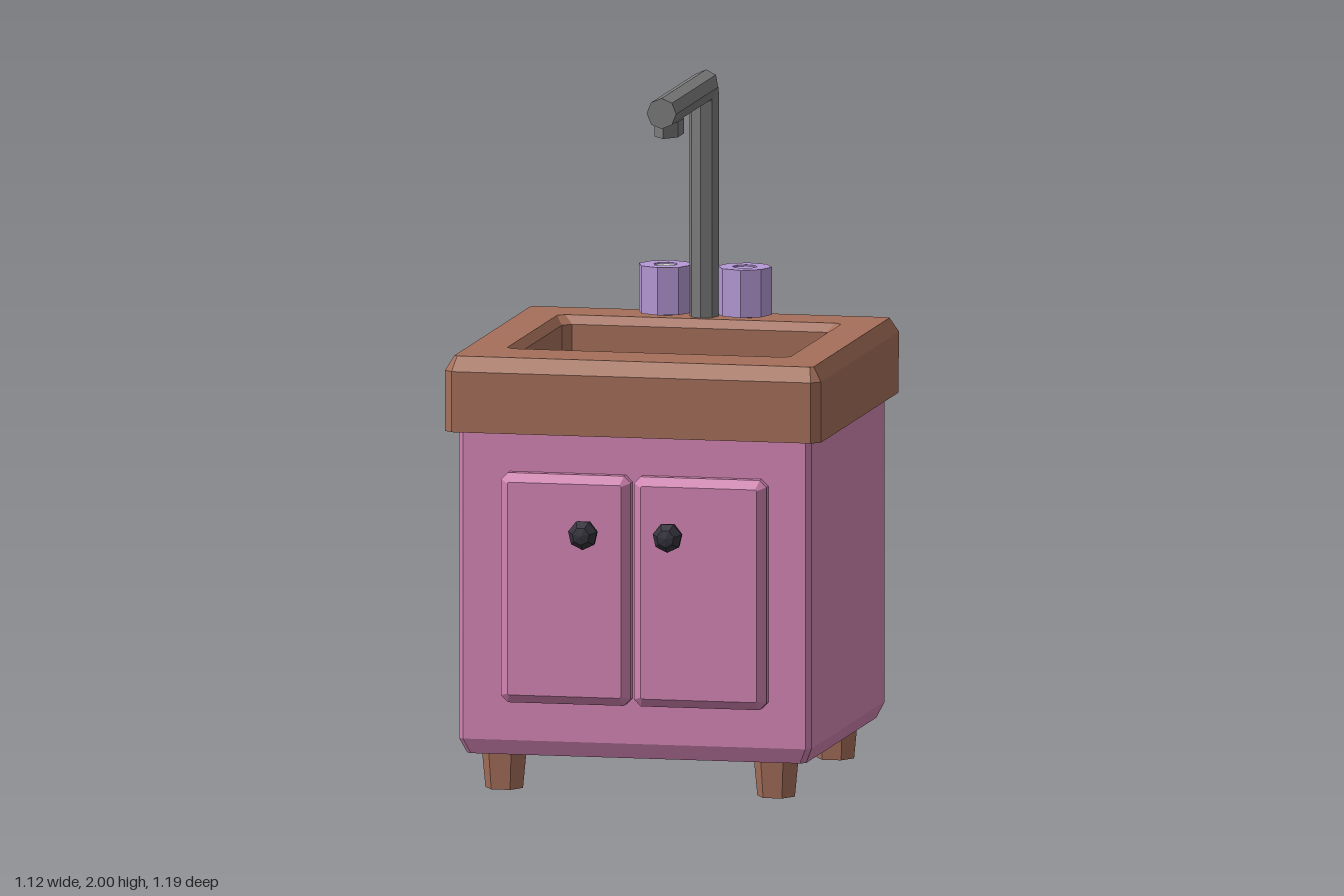
import * as THREE from 'three';

const mat = (name, color, side = THREE.FrontSide) => {
  const m = new THREE.MeshStandardMaterial({ color, side });
  m.name = name;
  return m;
};

// Faceted normals for a low-poly look
function facet(geo) {
  const g = geo.index ? geo.toNonIndexed() : geo;
  g.computeVertexNormals();
  return g;
}

// Skin between loops of equal point count, with optional end caps
function loft(rings, capStart, capEnd) {
  const n = rings[0].length, pos = rings.flat(2), idx = [];
  for (let r = 0; r < rings.length - 1; r++) {
    for (let i = 0; i < n; i++) {
      const j = (i + 1) % n, a = r * n, b = a + n;
      idx.push(a + i, a + j, b + j, a + i, b + j, b + i);
    }
  }
  const e = (rings.length - 1) * n;
  for (let i = 1; i < n - 1; i++) {
    if (capStart) idx.push(0, i + 1, i);
    if (capEnd) idx.push(e, e + i, e + i + 1);
  }
  const g = new THREE.BufferGeometry();
  g.setAttribute('position', new THREE.Float32BufferAttribute(pos, 3));
  g.setIndex(idx);
  return facet(g);
}

// Rectangle with cut corners at height y, counter-clockwise from above
const rect = (y, x0, x1, z0, z1, c) => [
  [x1, y, z1 - c], [x1, y, z0 + c], [x1 - c, y, z0], [x0 + c, y, z0],
  [x0, y, z0 + c], [x0, y, z1 - c], [x0 + c, y, z1], [x1 - c, y, z1],
];

export function createModel() {
  const group = new THREE.Group();
  group.name = 'sinkCabinet';
  const pink = mat('pinkPaint', 0xd284b2, THREE.DoubleSide);
  const wood = mat('brownWood', 0xa56f5a);
  const metal = mat('greyMetal', 0x7c7c7c);
  const white = mat('whiteBasin', 0xd6d6d6, THREE.DoubleSide);
  const lilac = mat('lilacHandle', 0xb598d6);
  const dark = mat('darkKnob', 0x35323c);

  const add = (name, geo, material, x = 0, y = 0, z = 0) => {
    const m = new THREE.Mesh(geo, material);
    m.name = name;
    m.position.set(x, y, z);
    group.add(m);
    return m;
  };

  // Cabinet shell, open underneath
  add('cabinetBody', loft([
    rect(0.11, -0.505, 0.505, -0.53, 0.445, 0.015),
    rect(0.155, -0.525, 0.525, -0.55, 0.465, 0.015),
    rect(1.07, -0.525, 0.525, -0.55, 0.465, 0.015),
  ]), pink);

  // Countertop frame: underside, sides, bevel, top, then down the opening
  add('countertop', loft([
    rect(1.06, -0.51, 0.51, -0.535, 0.45, 0.015),
    rect(1.06, -0.56, 0.56, -0.585, 0.505, 0.025),
    rect(1.238, -0.56, 0.56, -0.595, 0.505, 0.025),
    rect(1.28, -0.535, 0.535, -0.565, 0.473, 0.01),
    rect(1.28, -0.42, 0.425, -0.415, 0.293, 0.02),
    rect(1.255, -0.4, 0.405, -0.395, 0.272, 0.025),
    rect(1.15, -0.4, 0.405, -0.395, 0.272, 0.025),
  ]), wood);

  // Basin
  add('basin', loft([
    rect(1.17, -0.4, 0.405, -0.395, 0.272, 0.03),
    rect(1.03, -0.285, 0.3, -0.315, 0.178, 0.03),
    rect(1.0, -0.245, 0.255, -0.272, 0.176, 0.02),
  ], false, true), white);

  // Drain ring
  const drain = new THREE.TorusGeometry(0.067, 0.009, 4, 6);
  drain.rotateX(Math.PI / 2);
  add('drainRing', facet(drain), metal, 0, 1.005, -0.06);

  // Doors with bevelled faces and round knobs
  const knobProfile = [[0.02, 0], [0.022, 0.015], [0.042, 0.03], [0.044, 0.05], [0.026, 0.075], [0, 0.079]]
    .map(([r, y]) => new THREE.Vector2(r, y));
  for (const [x0, x1, kx, side] of [[-0.39, -0.004, -0.132, 'right'], [0.006, 0.4, 0.12, 'left']]) {
    const door = loft([
      rect(0.455, x0, x1, -0.945, -0.27, 0.02),
      rect(0.492, x0, x1, -0.945, -0.27, 0.02),
      rect(0.516, x0 + 0.024, x1 - 0.024, -0.92, -0.295, 0.004),
    ], false, true);
    door.rotateX(Math.PI / 2);
    add(side + 'Door', door, pink);
    const knob = new THREE.LatheGeometry(knobProfile, 7);
    knob.rotateX(Math.PI / 2);
    add(side + 'DoorKnob', facet(knob), dark, kx, 0.778, 0.512);
  }

  // Tapered hexagonal legs
  for (const x of [-0.41, 0.4]) {
    for (const z of [0.36, -0.435]) {
      const leg = new THREE.CylinderGeometry(0.082, 0.056, 0.27, 6);
      leg.rotateY(Math.PI / 2);
      add('leg', facet(leg), wood, x, 0.135, z);
    }
  }

  // Faucet pipe: octagonal section swept up and forward through a cut bend
  const R = 0.045, section = [];
  for (let i = 0; i < 8; i++) {
    const a = i * Math.PI / 4;
    section.push([0.044 * Math.cos(a), R * Math.sin(a)]);
  }
  const ring = (f) => section.map(([x, t]) => [x, ...f(t)]);
  add('faucetPipe', loft([
    ring((t) => [1.27, -0.48 - t * 1.1]),
    ring((t) => [1.93 + 0.45 * t, -0.48 - t * 1.1]),
    ring((t) => [1.955 + t, -0.468 - 0.83 * t]),
    ring((t) => [1.955 + t, 0.097]),
  ], true, true), metal);
  const nozzle = new THREE.CylinderGeometry(1, 1, 0.045, 6);
  nozzle.scale(0.04, 1, 0.085);
  add('faucetNozzle', facet(nozzle), metal, 0, 1.9, -0.01);

  // Tap handles with a shallow dished top and a centre disc
  const tapProfile = [[0, 0], [0.08, 0], [0.08, 0.14], [0.036, 0.14], [0.034, 0.13], [0, 0.13]]
    .map(([r, y]) => new THREE.Vector2(r, y));
  for (const s of [-1, 1]) {
    const tap = new THREE.LatheGeometry(tapProfile, 8);
    tap.rotateY(s * 0.07);
    const side = s < 0 ? 'right' : 'left';
    add(side + 'TapHandle', facet(tap), lilac, s * 0.118, 1.287, -0.49);
    const stem = new THREE.CylinderGeometry(0.035, 0.035, 0.03, 8);
    add(side + 'TapStem', facet(stem), metal, s * 0.118, 1.28, -0.49);
    const disc = new THREE.CylinderGeometry(0.034, 0.034, 0.006, 8);
    add(side + 'TapDisc', facet(disc), s < 0 ? white : lilac, s * 0.118, 1.42, -0.49);
  }
  return group;
}
